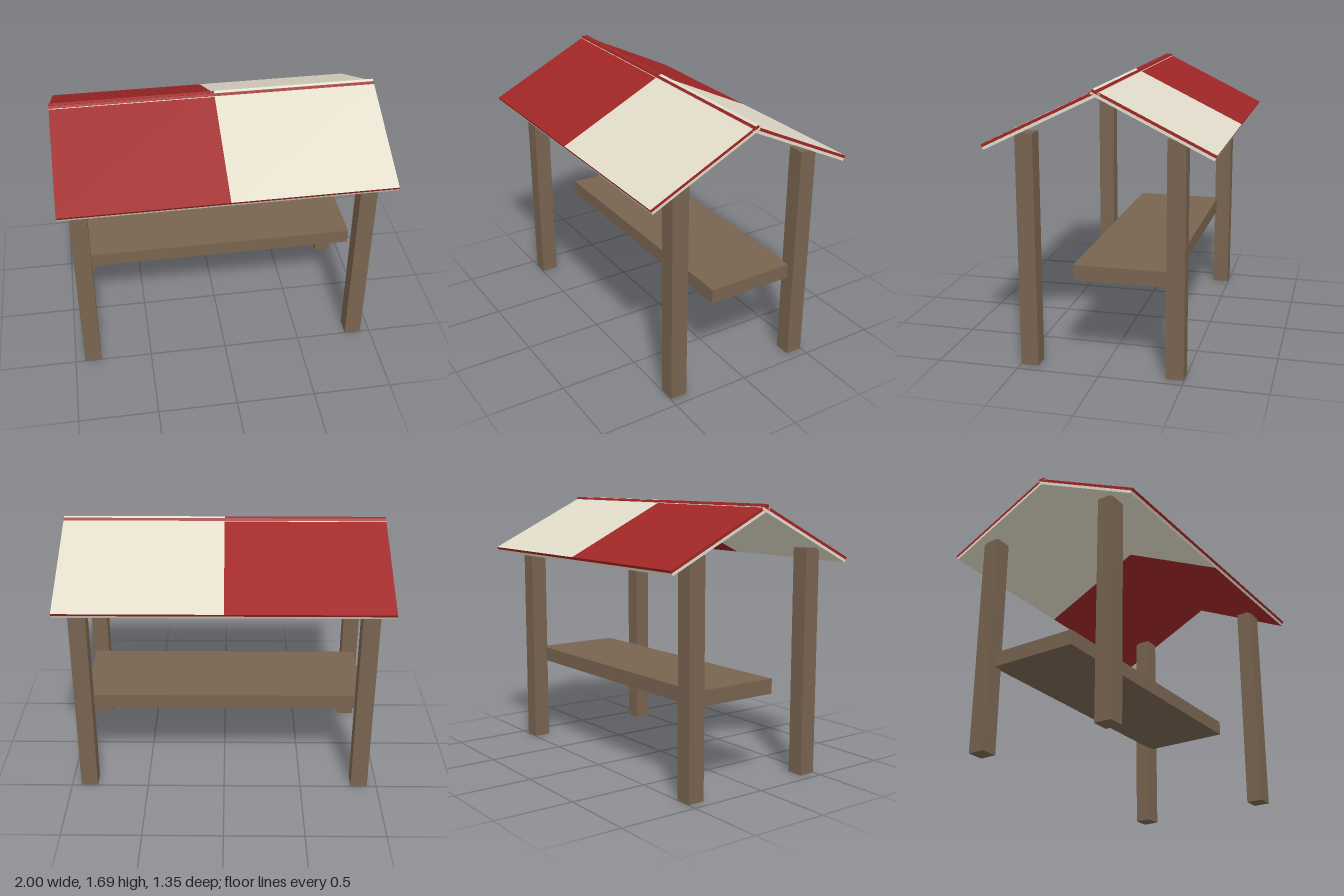
import * as THREE from 'three';

const mat = (name, color) => {
  const m = new THREE.MeshStandardMaterial({ color });
  m.name = name;
  return m;
};

export function createModel() {
  const model = new THREE.Group();
  model.name = 'marketStall';
  const wood = mat('wood', 0x786450);
  const red = mat('red', 0xa02626);
  const cream = mat('cream', 0xe2dcca);

  const box = (parent, name, size, pos, material) => {
    const mesh = new THREE.Mesh(new THREE.BoxGeometry(...size), material);
    mesh.name = name;
    mesh.position.set(...pos);
    parent.add(mesh);
    return mesh;
  };

  // Four corner posts
  for (const x of [-0.885, 0.885])
    for (const z of [-0.443, 0.443])
      box(model, z > 0 ? 'frontPost' : 'backPost', [0.107, 1.415, 0.107], [x, 0.7075, z], wood);

  // Counter board, let into the back posts
  box(model, 'counter', [1.77, 0.093, 0.578], [0, 0.5895, -0.111], wood);

  // Pitched roof: two sloping panels that cross slightly at the ridge
  const eave = { z: 0.676, y: 1.351 }, ridge = { z: -0.015, y: 1.687 };
  const pitch = Math.atan2(ridge.y - eave.y, eave.z - ridge.z);
  const length = Math.hypot(ridge.y - eave.y, eave.z - ridge.z);
  const t = 0.0172;
  for (const side of [1, -1]) {
    const panel = new THREE.Group();
    panel.name = side > 0 ? 'frontRoof' : 'backRoof';
    panel.position.set(0, (eave.y + ridge.y) / 2, side * (eave.z + ridge.z) / 2);
    panel.rotation.x = side * pitch;
    model.add(panel);
    // Each half has a red-edged cover over a cream-edged lining;
    // the broad faces alternate colour (face order: +x -x +y -y +z -z)
    for (const half of [-1, 1]) {
      const top = half < 0 ? red : cream;
      const under = half < 0 ? cream : red;
      box(panel, 'roofCover', [1, t, length], [half * 0.5, -t / 2, 0],
        [red, red, top, red, red, red]);
      box(panel, 'roofLining', [1, t, length], [half * 0.5, -t * 1.5, 0],
        [cream, cream, cream, under, cream, cream]);
    }
  }
  return model;
}
